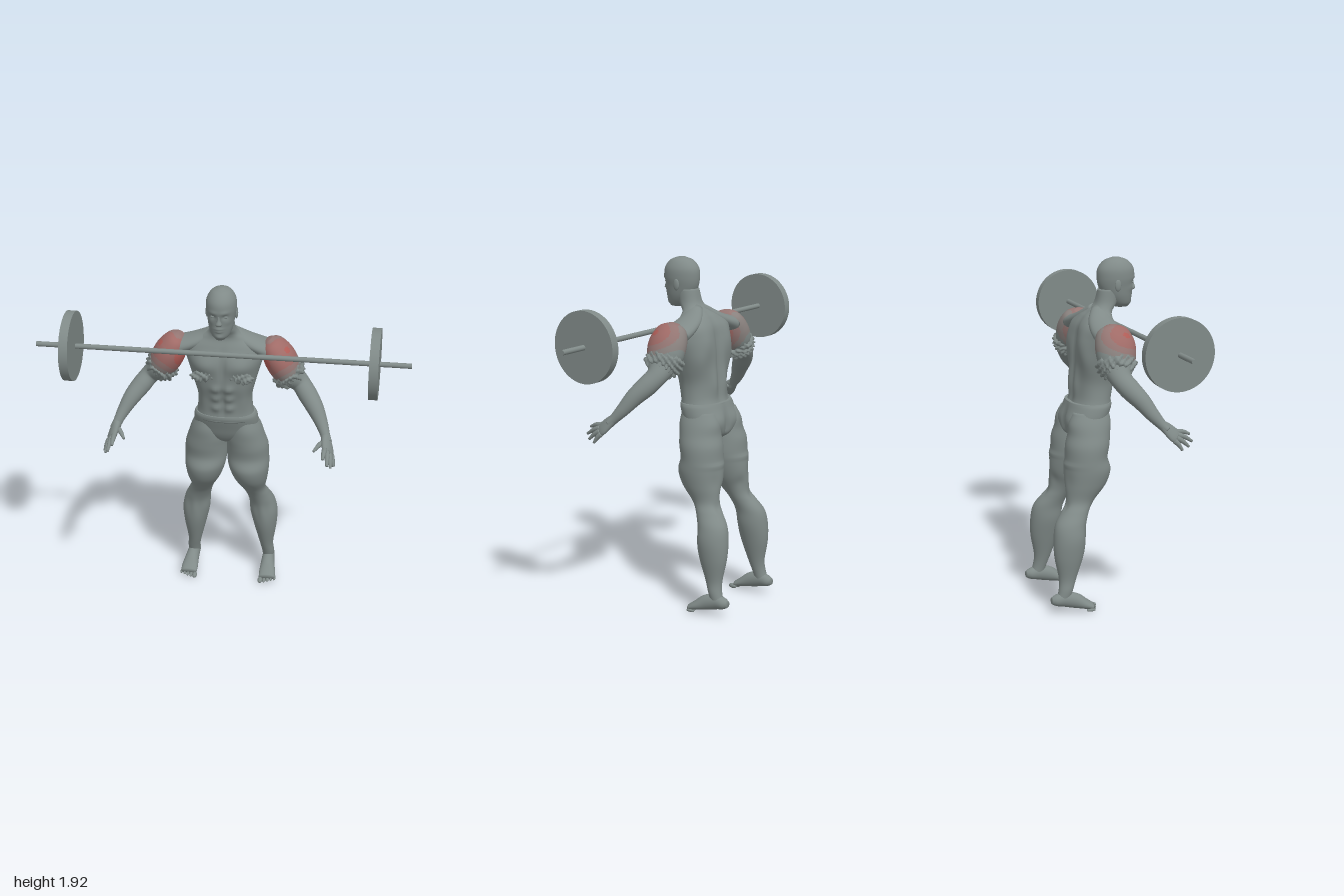
import * as THREE from 'three';

const colour = (name, hex) => {
  const m = new THREE.MeshStandardMaterial({ color: hex, side: THREE.DoubleSide });
  m.name = name;
  return m;
};

// Smooth skin through elliptical sections [x, y, z, sideRadius, refRadius].
// With level = true every ring stays horizontal; otherwise rings follow the path.
function loft(rows, { level = false, ref = [0, 0, 1], sides = 32, steps = 5, power = 1 } = {}) {
  const path = new THREE.CatmullRomCurve3(rows.map(r => new THREE.Vector3(r[0], r[1], r[2])), false, 'catmullrom');
  const size = new THREE.CatmullRomCurve3(rows.map(r => new THREE.Vector3(r[3], r[4], 0)), false, 'catmullrom');
  const n = (rows.length - 1) * steps, pos = [], index = [];
  const bend = c => Math.sign(c) * Math.pow(Math.abs(c), power);
  for (let i = -1; i <= n + 1; i++) {
    const t = Math.min(Math.max(i / n, 0), 1);
    const c = path.getPoint(t), s = size.getPoint(t);
    if (i < 0 || i > n) s.set(0, 0, 0); // closed ends
    const dir = level ? new THREE.Vector3(0, 1, 0) : path.getTangent(t);
    const v = new THREE.Vector3(...ref);
    v.addScaledVector(dir, -v.dot(dir)).normalize();
    const u = dir.clone().cross(v);
    for (let j = 0; j < sides; j++) {
      const a = j / sides * Math.PI * 2;
      const p = c.clone().addScaledVector(u, bend(Math.cos(a)) * s.x).addScaledVector(v, bend(Math.sin(a)) * s.y);
      pos.push(p.x, p.y, p.z);
    }
  }
  for (let i = 0; i < n + 2; i++) for (let j = 0; j < sides; j++) {
    const a = i * sides + j, b = i * sides + (j + 1) % sides, c = a + sides, d = b + sides;
    if (i > 0) index.push(a, c, b);
    else index.push(a, c, d);
    if (i > 0 && i < n + 1) index.push(b, c, d);
  }
  const g = new THREE.BufferGeometry();
  g.setAttribute('position', new THREE.Float32BufferAttribute(pos, 3));
  g.setIndex(index);
  g.computeVertexNormals();
  return g;
}

// Push every vertex along its normal by amount(position, normal)
function displace(g, amount) {
  const P = g.attributes.position, p = new THREE.Vector3(), n = new THREE.Vector3();
  for (let i = 0; i < P.count; i++) {
    p.fromBufferAttribute(P, i);
    n.fromBufferAttribute(g.attributes.normal, i);
    p.addScaledVector(n, amount(p, n));
    P.setXYZ(i, p.x, p.y, p.z);
  }
  g.computeVertexNormals();
  return g;
}

// Soft muscle swellings and grooves [x, y, radiusX, radiusY, height, front 1 / back -1]
const sculpt = (g, bumps) => displace(g, (p, n) => bumps.reduce((sum, [x, y, rx, ry, h, face]) => sum +
  h * Math.max(0, n.z * face) * Math.exp(-(((Math.abs(p.x) - x) / rx) ** 2) - ((p.y - y) / ry) ** 2), 0));

// Irregular folds
const crumple = (g, h) => displace(g, p =>
  h * Math.sin(190 * p.x + 110 * p.z) * Math.sin(150 * p.y + 70 * p.x - 60 * p.z));

const ball = ([x, y, z], [a, b, c], tilt = 0) =>
  new THREE.SphereGeometry(1, 32, 20).scale(a, b, c).rotateZ(tilt).translate(x, y, z);

// Opposite-side copy of a geometry, keeping its faces outward
function mirror(geo) {
  const g = geo.clone().scale(-1, 1, 1), ix = g.index.array;
  for (let i = 0; i < ix.length; i += 3) [ix[i], ix[i + 1]] = [ix[i + 1], ix[i]];
  return g;
}

// Sort faces into material groups by distance from a centre
function paintRings(g, centre, radii) {
  const p = g.attributes.position, ix = g.index.array, o = new THREE.Vector3(...centre);
  const bins = [...radii.map(() => []), []], v = new THREE.Vector3(), m = new THREE.Vector3();
  for (let i = 0; i < ix.length; i += 3) {
    m.set(0, 0, 0);
    for (let k = 0; k < 3; k++) m.add(v.fromBufferAttribute(p, ix[i + k]));
    const d = m.divideScalar(3).distanceTo(o);
    const b = radii.findIndex(r => d < r);
    bins[b < 0 ? radii.length : b].push(ix[i], ix[i + 1], ix[i + 2]);
  }
  g.setIndex(bins.flat());
  let start = 0;
  bins.forEach((b, i) => { g.addGroup(start, b.length, i); start += b.length; });
  return g;
}

export function createModel() {
  const model = new THREE.Group();
  model.name = 'weightlifter';
  const grey = colour('grey', 0x808a88);
  const armColours = [colour('strong red', 0xb05d57), colour('soft red', 0xa06b67),
    colour('pale red', 0x947673), colour('faded red', 0x89817e), grey];

  const add = (name, geo, mat = grey) => {
    const m = new THREE.Mesh(geo, mat);
    m.name = name;
    model.add(m);
  };
  const pair = (name, geo, mat) => {
    add('left' + name, geo, mat);
    add('right' + name, mirror(geo), mat);
  };

  // Barbell
  const alongX = (r, h, x, n) => new THREE.CylinderGeometry(r, r, h, n).rotateZ(Math.PI / 2).translate(x, 1.543, 0.145);
  add('bar', alongX(0.014, 2, 0, 20));
  pair('Plate', alongX(0.188, 0.048, 0.81, 64));

  // Head
  add('head', sculpt(loft([
    [0, 1.648, 0.165, 0.025, 0.035], [0, 1.67, 0.155, 0.048, 0.058], [0, 1.71, 0.14, 0.064, 0.08],
    [0, 1.76, 0.13, 0.073, 0.096], [0, 1.81, 0.13, 0.08, 0.105], [0, 1.86, 0.13, 0.076, 0.1],
    [0, 1.9, 0.13, 0.052, 0.068], [0, 1.919, 0.13, 0.015, 0.02]], { level: true, sides: 72, steps: 9 }), [
    [0.033, 1.785, 0.016, 0.012, -0.009, 1], [0.03, 1.81, 0.025, 0.01, 0.004, 1], [0.047, 1.755, 0.018, 0.018, 0.005, 1],
    [0, 1.718, 0.022, 0.006, 0.006, 1], [0, 1.703, 0.018, 0.006, 0.006, 1], [0, 1.672, 0.02, 0.012, 0.006, 1]]));
  add('nose', loft([
    [0, 1.736, 0.222, 0.013, 0.01], [0, 1.748, 0.228, 0.017, 0.017],
    [0, 1.77, 0.226, 0.009, 0.012], [0, 1.8, 0.222, 0.007, 0.01]], { level: true, sides: 16 }));
  pair('Eye', ball([0.033, 1.785, 0.211], [0.013, 0.006, 0.008]));
  pair('Ear', ball([0.077, 1.775, 0.115], [0.009, 0.032, 0.018]));

  // Torso and neck
  add('torso', sculpt(loft([
    [0, 1.11, -0.03, 0.165, 0.115], [0, 1.17, -0.02, 0.152, 0.104], [0, 1.25, -0.012, 0.148, 0.108],
    [0, 1.33, 0, 0.165, 0.12], [0, 1.42, 0.005, 0.19, 0.123], [0, 1.5, 0.01, 0.21, 0.116],
    [0, 1.56, 0.008, 0.205, 0.1], [0, 1.605, 0.015, 0.14, 0.078], [0, 1.635, 0.035, 0.088, 0.066],
    [0, 1.675, 0.07, 0.066, 0.06], [0, 1.75, 0.095, 0.06, 0.063]],
  { level: true, power: 0.9, sides: 80, steps: 8 }), [
    [0.095, 1.46, 0.07, 0.05, 0.022, 1], [0, 1.46, 0.014, 0.08, -0.012, 1], [0, 1.24, 0.01, 0.1, -0.011, 1],
    ...[1.2, 1.262, 1.324].map(y => [0.036, y, 0.024, 0.022, 0.013, 1]), [0.11, 1.24, 0.025, 0.07, 0.008, 1],
    [0, 1.4, 0.022, 0.18, -0.018, -1], [0.1, 1.48, 0.05, 0.08, 0.016, -1],
    [0.14, 1.37, 0.04, 0.08, 0.016, -1], [0.045, 1.24, 0.025, 0.08, 0.013, -1]]));
  pair('Trapezius', loft([
    [0.02, 1.645, 0.03, 0.03, 0.045], [0.1, 1.59, 0.008, 0.038, 0.07],
    [0.18, 1.555, 0.005, 0.042, 0.085], [0.25, 1.53, 0.005, 0.05, 0.088]]));
  pair('ChestFolds', crumple(ball([0.11, 1.4, 0.117], [0.058, 0.03, 0.022]), 0.012));

  // Hips
  add('pelvis', sculpt(loft([
    [0, 0.94, -0.08, 0.03, 0.05], [0, 0.97, -0.075, 0.1, 0.09], [0, 1.01, -0.066, 0.165, 0.108],
    [0, 1.06, -0.055, 0.178, 0.117], [0, 1.12, -0.035, 0.174, 0.12], [0, 1.145, -0.03, 0.163, 0.117]],
  { level: true, power: 0.9, sides: 60 }), [[0.085, 1.04, 0.05, 0.05, 0.012, -1], [0, 1.02, 0.015, 0.08, -0.02, -1]]));

  // Legs
  pair('Leg', sculpt(loft([
    [0.1, 1.1, -0.05, 0.065, 0.1], [0.104, 1.04, -0.06, 0.09, 0.118], [0.107, 0.98, -0.066, 0.107, 0.118],
    [0.116, 0.92, -0.078, 0.116, 0.122], [0.118, 0.85, -0.086, 0.118, 0.118], [0.124, 0.78, -0.082, 0.113, 0.13],
    [0.133, 0.7, -0.098, 0.094, 0.116], [0.147, 0.62, -0.132, 0.066, 0.08], [0.166, 0.565, -0.166, 0.066, 0.076],
    [0.187, 0.5, -0.2, 0.073, 0.087], [0.198, 0.42, -0.21, 0.078, 0.092], [0.206, 0.32, -0.22, 0.064, 0.081],
    [0.212, 0.2, -0.23, 0.04, 0.05], [0.221, 0.13, -0.245, 0.035, 0.04], [0.222, 0.07, -0.265, 0.03, 0.04]],
  { level: true, sides: 48, steps: 6 }), [
    [0.17, 0.73, 0.035, 0.06, 0.008, 1], [0.09, 0.67, 0.03, 0.04, 0.012, 1], [0.165, 0.59, 0.025, 0.025, 0.01, 1],
    [0.165, 0.44, 0.025, 0.06, 0.008, -1], [0.23, 0.45, 0.025, 0.06, 0.008, -1], [0.13, 0.82, 0.1, 0.012, -0.006, 1]]));

  // Feet, heels raised
  pair('Foot', loft([
    [0.222, 0.08, -0.328, 0.016, 0.018], [0.222, 0.08, -0.3, 0.032, 0.032], [0.223, 0.08, -0.25, 0.035, 0.042],
    [0.226, 0.066, -0.19, 0.04, 0.042], [0.23, 0.042, -0.135, 0.047, 0.028], [0.231, 0.025, -0.095, 0.046, 0.018]],
  { ref: [0, 1, 0], sides: 32 }));
  for (let i = 0; i < 5; i++) {
    const r = i ? 0.0105 - i * 0.0006 : 0.014;
    pair('Toe' + (i + 1), ball([0.194 + i * 0.0195 + (i ? 0.003 : 0), r + i * 0.002, -0.083 - i * 0.008], [r, r, 0.026]));
  }

  // Arms, with reddened shoulder muscle
  const arm = loft([
    [0.235, 1.595, 0.012, 0.02, 0.03], [0.25, 1.57, 0.012, 0.056, 0.08], [0.274, 1.53, 0.012, 0.077, 0.102],
    [0.3, 1.485, 0.012, 0.086, 0.11], [0.33, 1.43, 0.006, 0.083, 0.104], [0.365, 1.385, 0, 0.068, 0.084],
    [0.412, 1.34, 0.002, 0.052, 0.06], [0.455, 1.29, 0.035, 0.052, 0.056], [0.5, 1.235, 0.08, 0.046, 0.048],
    [0.54, 1.17, 0.125, 0.034, 0.037], [0.565, 1.12, 0.165, 0.026, 0.027], [0.577, 1.09, 0.19, 0.028, 0.022]],
  { steps: 10, sides: 56 });
  pair('Arm', paintRings(arm, [0.285, 1.5, 0.03], [0.086, 0.102, 0.118, 0.134]), armColours);

  // Bunched folds below the shoulder
  pair('ArmFolds', crumple(loft([
    [0.325, 1.425, 0.004, 0.07, 0.088], [0.34, 1.405, 0.002, 0.088, 0.105], [0.362, 1.38, 0, 0.08, 0.095],
    [0.38, 1.36, 0, 0.06, 0.07]], { steps: 8, sides: 64 }), 0.013));

  // Hands
  pair('Palm', loft([
    [0.566, 1.12, 0.165, 0.025, 0.025], [0.575, 1.095, 0.195, 0.022, 0.036],
    [0.585, 1.065, 0.225, 0.019, 0.043], [0.59, 1.05, 0.243, 0.014, 0.038]], { ref: [0.6, -0.7, -0.3], sides: 20 }));
  const fingers = [
    ['Index', [0.57, 1.075, 0.245], [0.566, 1.055, 0.325]],
    ['Middle', [0.584, 1.062, 0.245], [0.59, 1.02, 0.33]],
    ['Ring', [0.596, 1.048, 0.238], [0.608, 0.997, 0.305]],
    ['Little', [0.605, 1.036, 0.224], [0.622, 0.985, 0.262]],
    ['Thumb', [0.56, 1.095, 0.195], [0.512, 1.068, 0.265]]];
  for (const [name, a, b] of fingers) {
    const mid = a.map((v, i) => (v + b[i]) / 2 + (i === 1 ? 0.006 : 0));
    pair(name + 'Finger', loft([[...a, 0.015, 0.015], [...mid, 0.0125, 0.0125], [...b, 0.007, 0.007]],
      { ref: [1, 0, 0], sides: 12 }));
  }
  return model;
}
